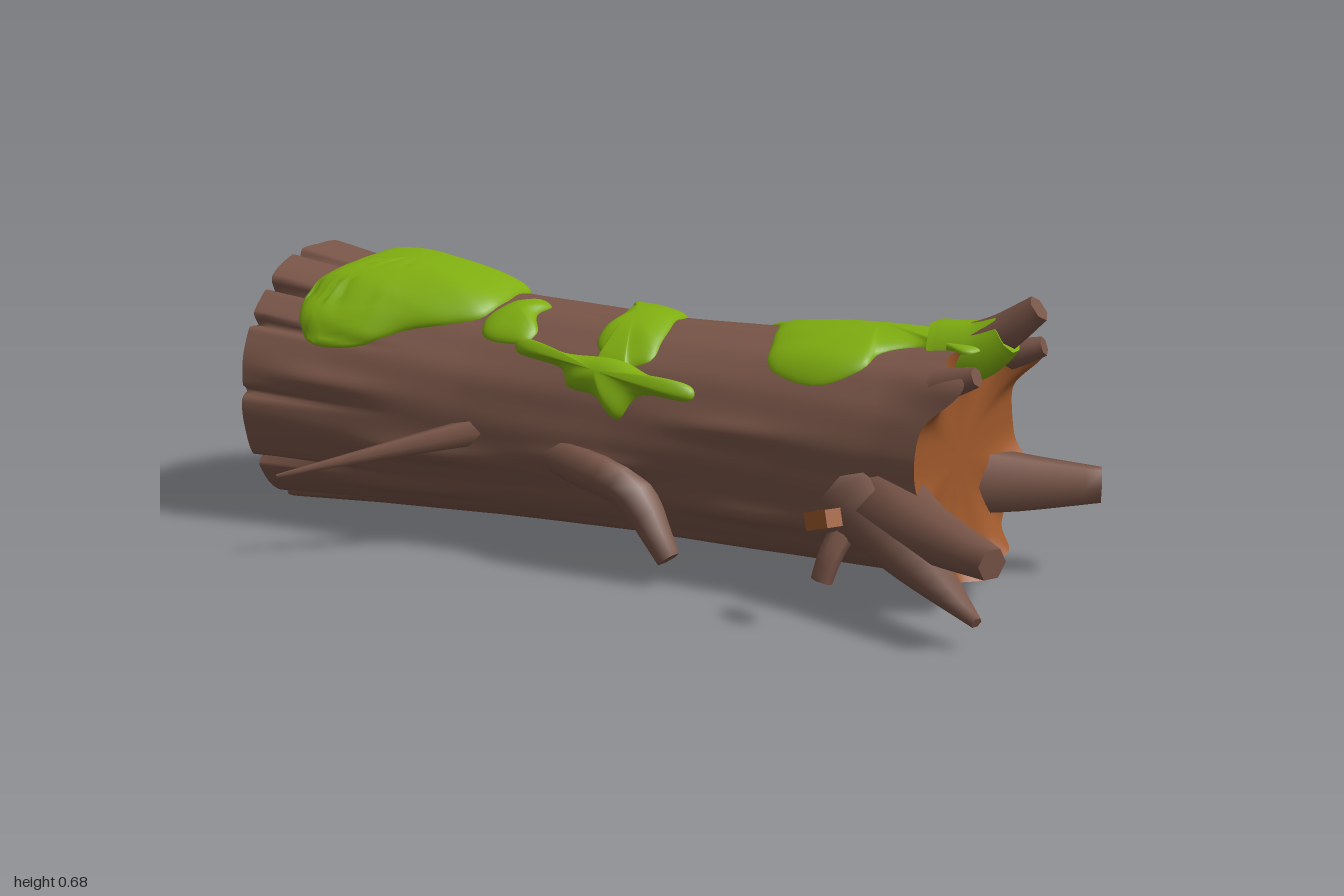
import * as THREE from 'three';
import { toCreasedNormals } from 'three/addons/utils/BufferGeometryUtils.js';

const mat = (name, color) => Object.assign(new THREE.MeshStandardMaterial({ color }), { name });
const rad = THREE.MathUtils.degToRad;
const SIDES = 240;

// Log sections: x, top y, bottom y, back z, front z
const SECTIONS = [
  [-1.0, 0.645, 0.0, -0.42, 0.28], [-0.75, 0.6, 0.015, -0.385, 0.245], [-0.4, 0.56, 0.03, -0.345, 0.215],
  [0, 0.545, 0.045, -0.305, 0.2], [0.4, 0.55, 0.05, -0.295, 0.205], [0.65, 0.555, 0.05, -0.305, 0.215],
  [0.85, 0.57, 0.035, -0.33, 0.245],
];
// Split grooves at the sawn end: angle from top, depth
const GROOVES = [[14, 0.08], [38, 0.13], [57, 0.1], [88, 0.06], [122, 0.12], [150, 0.08], [186, 0.24],
  [222, 0.1], [252, 0.14], [285, 0.08], [318, 0.12], [342, 0.08]];
// Long bark ridges: x, angle, half length, height
const RIDGES = [[-0.75, 78, 0.2, 0.04], [-0.5, 105, 0.25, 0.05], [-0.05, 100, 0.2, 0.06], [-0.6, 130, 0.3, 0.05],
  [0.35, 118, 0.25, 0.05], [0.3, 75, 0.2, 0.03], [0.0, 266, 0.22, 0.1], [-0.5, 285, 0.3, 0.04],
  [-0.45, 245, 0.3, 0.05], [0.4, 240, 0.25, 0.04], [0.1, 145, 0.3, 0.05], [0, 215, 0.35, 0.04]];
// Splintered corners flaring out at the broken end
const CORNERS = [46, -46];

const angleGap = (a, deg) => Math.atan2(Math.sin(a - rad(deg)), Math.cos(a - rad(deg)));
const bump = (d, w) => Math.exp(-((d / w) ** 2));

// Point on the bark at x and angle a (0 = top, positive towards the front)
function barkPoint(x, a, lift = 0) {
  let i = 0;
  while (i < SECTIONS.length - 2 && x > SECTIONS[i + 1][0]) i++;
  const p = SECTIONS[i], q = SECTIONS[i + 1];
  const t = (x - p[0]) / (q[0] - p[0]);
  const [top, bottom, back, front] = [1, 2, 3, 4].map((k) => p[k] + (q[k] - p[k]) * t);
  let k = 0.997 + 0.007 * Math.sin(9 * a + 3 * x + Math.sin(4 * x)) + 0.004 * Math.sin(17 * a - 5 * x);
  k += 0.05 * THREE.MathUtils.smoothstep(x, -0.6, 0.75) * Math.sin(2 * a) ** 2;
  const fade = THREE.MathUtils.clamp((-0.55 - x) / 0.43, 0, 1) ** 1.5;
  for (const [deg, depth] of GROOVES) k -= depth * fade * bump(angleGap(a, deg), 0.03);
  for (const [rx, deg, len, h] of RIDGES) k += h * bump(x - rx, len * 0.7) * bump(angleGap(a, deg), 0.09);
  for (const deg of CORNERS) k += 0.09 * THREE.MathUtils.smoothstep(x, 0.65, 0.85) * bump(angleGap(a, deg), 0.17);
  return new THREE.Vector3(x,
    (top + bottom) / 2 + ((top - bottom) / 2 * k + lift) * Math.cos(a),
    (back + front) / 2 + ((front - back) / 2 * k + lift) * Math.sin(a));
}

// Skin of closed rings
function skin(rows, cols, point) {
  const pos = [], idx = [];
  for (let i = 0; i <= rows; i++)
    for (let j = 0; j < cols; j++) pos.push(...point(i, j).toArray());
  for (let i = 0; i < rows; i++)
    for (let j = 0; j < cols; j++) {
      const a = i * cols + j, b = i * cols + (j + 1) % cols;
      idx.push(a, b, a + cols, b, b + cols, a + cols);
    }
  const g = new THREE.BufferGeometry();
  g.setAttribute('position', new THREE.Float32BufferAttribute(pos, 3));
  g.setIndex(idx);
  g.computeVertexNormals();
  return g;
}

const leftRim = (a) => -0.968 - 0.022 * Math.cos(a) ** 2;
const rightRim = (a) => 0.755 + [[0, 0.06], ...CORNERS.map((d) => [d, 0.09]), [110, 0.05], [-108, 0.06], [180, 0.06], [150, 0.05], [-150, 0.05]]
  .reduce((s, [deg, h]) => s + h * bump(angleGap(a, deg), 0.2), 0);

// Tapered branch with a flat end
function branch(points, radii, sides = 6) {
  const curve = new THREE.CatmullRomCurve3(points.map((p) => new THREE.Vector3(...p)));
  const n = 10, f = curve.computeFrenetFrames(n);
  const g = skin(n + 1, sides, (i, j) => {
    const k = Math.min(i, n), t = k / n * (radii.length - 1), s = Math.min(Math.floor(t), radii.length - 2);
    const r = i > n ? 0 : THREE.MathUtils.lerp(radii[s], radii[s + 1], t - s);
    const a = (j + 0.5) / sides * Math.PI * 2;
    return curve.getPoint(k / n).addScaledVector(f.normals[k], r * Math.cos(a)).addScaledVector(f.binormals[k], r * Math.sin(a));
  });
  return toCreasedNormals(g, 1.15);
}

// Moss cushion over the bark, outlined by [x, angle] points
function cushion(outline, height) {
  const curve = new THREE.CatmullRomCurve3(outline.map(([x, d]) => new THREE.Vector3(x, rad(d), 0)), true);
  const cols = 90, rows = 14, edge = curve.getPoints(cols);
  const c = new THREE.Vector3();
  for (let j = 0; j < cols; j++) c.addScaledVector(edge[j], 1 / cols);
  return skin(rows, cols, (i, j) => {
    const s = Math.sin(i / rows * Math.PI / 2), p = c.clone().lerp(edge[j], s);
    return barkPoint(p.x, p.y, height * Math.pow(Math.max(0, 1 - s * s), 0.45) - 0.005);
  });
}

export function createModel() {
  const model = new THREE.Group();
  const bark = mat('bark brown', 0x795548);
  const wood = mat('cut wood', 0x9e582b);
  const moss = mat('moss green', 0x80ae10);
  const add = (name, geometry, material) => {
    const mesh = new THREE.Mesh(geometry, material);
    mesh.name = name;
    model.add(mesh);
    return mesh;
  };

  // Trunk and its two end faces
  const angle = (j) => j / SIDES * Math.PI * 2;
  add('trunk', skin(64, SIDES, (i, j) => {
    const a = angle(j);
    return barkPoint(THREE.MathUtils.lerp(leftRim(a), rightRim(a), i / 64), a);
  }), bark);
  add('sawnEnd', skin(4, SIDES, (i, j) => {
    const a = angle(j);
    return new THREE.Vector3(-0.982, 0.325, -0.07).lerp(barkPoint(leftRim(a), a), i / 4);
  }), wood);
  add('brokenEnd', skin(10, SIDES, (i, j) => {
    const a = angle(j), s = 1 - i / 10, rim = barkPoint(rightRim(a), a);
    const p = new THREE.Vector3(0.745, 0.31, -0.045).lerp(rim, s);
    p.x = 0.745 + (rim.x - 0.745) * s ** 4;
    return p;
  }), wood);

  // Branches, roots and splinter tips
  const limbs = [
    ['topSpike', [[0.7, 0.525, -0.04], [0.82, 0.58, -0.04], [0.915, 0.65, -0.04]], [0.06, 0.045, 0.03]],
    ['frontRoot', [[0.62, 0.25, 0.13], [0.8, 0.215, 0.25], [0.98, 0.195, 0.345]], [0.1, 0.062, 0.036]],
    ['frontLowerRoot', [[0.6, 0.25, 0.13], [0.77, 0.155, 0.24], [0.94, 0.06, 0.32]], [0.11, 0.062, 0.013]],
    ['backRoot', [[0.64, 0.22, -0.19], [0.8, 0.21, -0.265], [0.965, 0.21, -0.33]], [0.09, 0.068, 0.042]],
    ['frontBranch', [[-0.24, 0.26, 0.15], [-0.08, 0.245, 0.19], [0.06, 0.2, 0.2], [0.165, 0.06, 0.215]], [0.03, 0.052, 0.05, 0.027]],
    ['thinBranch', [[-0.3, 0.3, 0.14], [-0.45, 0.265, 0.265], [-0.71, 0.2, 0.48]], [0.04, 0.026, 0.004]],
    ['backBranch', [[-0.1, 0.26, -0.28], [0, 0.27, -0.325], [0.08, 0.265, -0.37], [0.17, 0.275, -0.425], [0.305, 0.295, -0.46]], [0.04, 0.04, 0.036, 0.034, 0.03]],
    ['lowTwig', [[0.57, 0.18, 0.15], [0.55, 0.12, 0.19], [0.535, 0.06, 0.205]], [0.03, 0.027, 0.024]],
    ['frontSplinterTip', [[0.76, 0.5, 0.14], [0.81, 0.515, 0.143], [0.855, 0.53, 0.147]], [0.036, 0.03, 0.022]],
    ['backSplinterTip', [[0.76, 0.5, -0.23], [0.81, 0.515, -0.233], [0.855, 0.53, -0.237]], [0.036, 0.03, 0.022]],
  ];
  for (const [name, points, radii] of limbs) add(name, branch(points, radii), bark);

  // Loose wood chip
  const chip = add('woodChip', new THREE.BoxGeometry(0.085, 0.038, 0.038), wood);
  chip.position.set(0.605, 0.24, 0.347);
  chip.rotation.set(0, -0.55, 0.3);

  // Moss
  const patches = [
    ['largeMoss', 0.055, [[-0.41, -6], [-0.41, 29], [-0.48, 38], [-0.58, 46], [-0.7, 60], [-0.8, 62], [-0.87, 44],
      [-0.83, 13], [-0.84, -24], [-0.86, -42], [-0.8, -61], [-0.68, -65], [-0.58, -43], [-0.43, -22]]],
    ['smallMoss', 0.028, [[-0.25, 35], [-0.28, 43], [-0.36, 43], [-0.4, 33], [-0.38, 20], [-0.36, 9], [-0.32, 3], [-0.28, 8], [-0.28, 22]]],
    ['middleMoss', 0.03, [[0.07, 30], [0.07, 44], [0.03, 50], [0.02, 60], [-0.05, 60], [-0.05, 46], [-0.09, 35], [-0.08, 10],
      [-0.11, -10], [-0.16, -30], [-0.17, -43], [-0.1, -47], [-0.03, -33], [0.02, -20], [0.05, 5]]],
    ['frontMoss', 0.05, [[0.19, 55], [0.19, 63], [0.08, 62], [0.02, 76], [-0.05, 65], [-0.11, 63], [-0.15, 53],
      [-0.27, 48], [-0.28, 40], [-0.15, 46], [0, 46], [0.1, 53]]],
    ['endMoss', 0.032, [[0.81, 0], [0.78, 17], [0.68, 12], [0.6, 22], [0.58, 38], [0.48, 49], [0.38, 44], [0.33, 22], [0.28, -8],
      [0.22, -24], [0.27, -39], [0.4, -36], [0.46, -31], [0.55, -25], [0.6, -43], [0.68, -45], [0.75, -24], [0.8, -11]]],
  ];
  for (const [name, height, outline] of patches) add(name, cushion(outline, height), moss);
  add('spikeMoss', branch([[0.7, 0.525, -0.045], [0.78, 0.548, -0.045], [0.845, 0.588, -0.042]], [0.085, 0.068, 0.045], 8), moss);

  return model;
}
